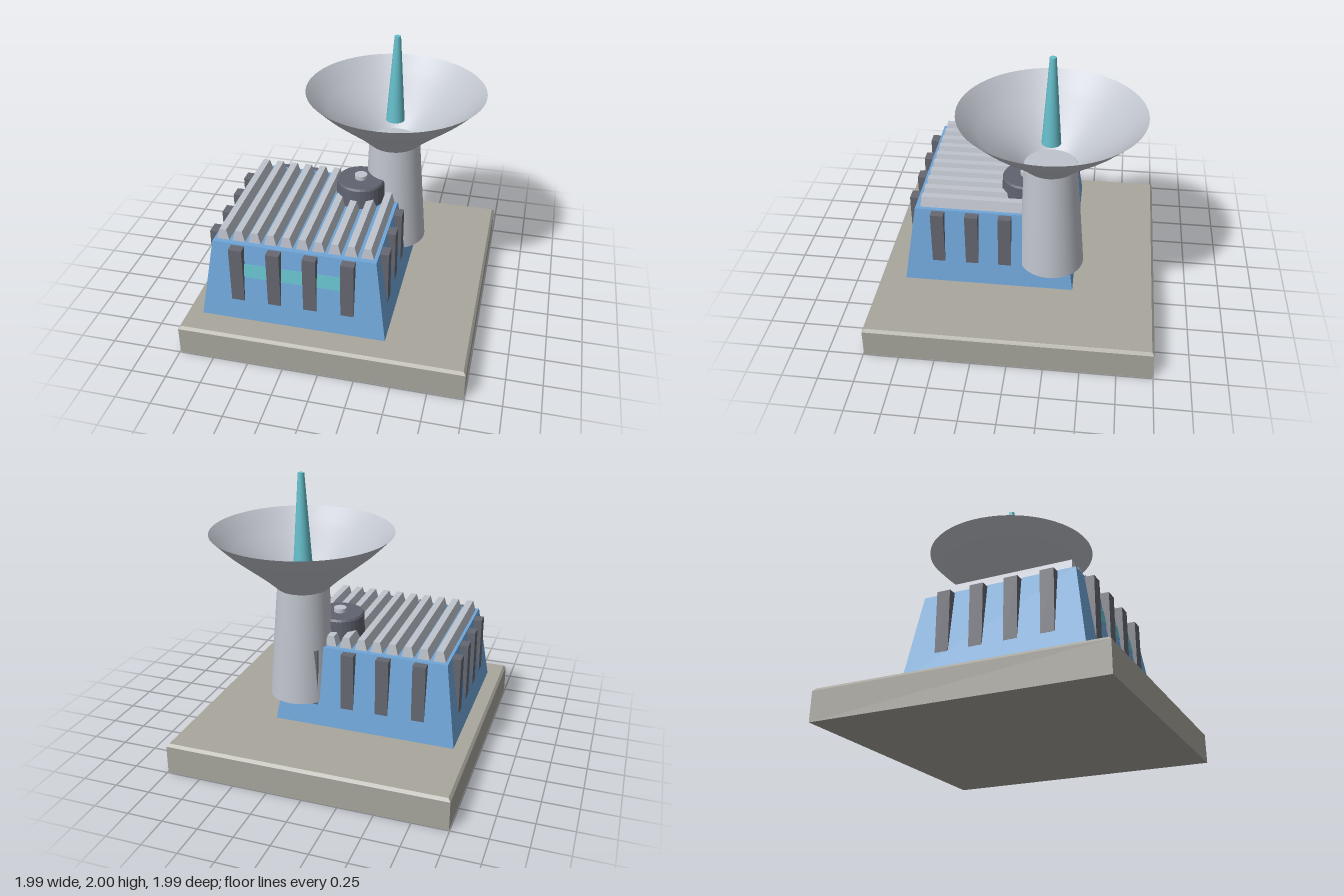
import * as THREE from 'three';

const mat = (name, color, side = THREE.FrontSide) => {
  const m = new THREE.MeshStandardMaterial({ color, side });
  m.name = name;
  return m;
};

// Box whose top rectangle differs from its bottom; rects are [x0, x1, z0, z1]
function frustum(bottom, top, y0, y1) {
  const g = new THREE.BoxGeometry(1, 1, 1).toNonIndexed();
  const p = g.attributes.position;
  for (let i = 0; i < p.count; i++) {
    const up = p.getY(i) > 0;
    const r = up ? top : bottom;
    p.setXYZ(i, p.getX(i) > 0 ? r[1] : r[0], up ? y1 : y0, p.getZ(i) > 0 ? r[3] : r[2]);
  }
  g.computeVertexNormals();
  return g;
}

export function createModel() {
  const model = new THREE.Group();
  const stone = mat('stone grey', 0xa8a69d);
  const blue = mat('wall blue', 0x70a6d9);
  const metal = mat('light metal', 0xbfc3cc);
  const dishMetal = mat('dish metal', 0xbfc3cc, THREE.DoubleSide);
  const dark = mat('fin grey', 0x666871);
  const slate = mat('vent slate', 0x60636f);
  const teal = mat('teal', 0x66c0cc);

  const add = (name, geometry, material, x = 0, y = 0, z = 0, parent = model) => {
    const mesh = new THREE.Mesh(geometry, material);
    mesh.name = name;
    mesh.position.set(x, y, z);
    parent.add(mesh);
    return mesh;
  };

  // Foundation slab with a chamfered top edge
  const outer = [-0.995, 0.995, -0.995, 0.995];
  const inner = [-0.978, 0.978, -0.978, 0.978];
  add('slab', frustum(outer, outer, 0, 0.205), stone);
  add('slabChamfer', frustum(outer, inner, 0.205, 0.225), stone);

  // Sloping building
  add('building', frustum([-0.88, 0.425, -0.41, 0.81], [-0.795, 0.34, -0.325, 0.725], 0.22, 0.8), blue);

  // Roof ribs
  const ribs = new THREE.Group();
  ribs.name = 'roofRibs';
  model.add(ribs);
  const rib = frustum([-0.045, 0.045, -0.29, 0.69], [-0.024, 0.024, -0.283, 0.683], 0.795, 0.875);
  for (let i = 0; i < 10; i++) add('roofRib', rib, metal, -0.73 + i * 0.1113, 0, 0, ribs);

  // Upright fins, four on each wall
  const fins = new THREE.Group();
  fins.name = 'wallFins';
  model.add(fins);
  const finZ = new THREE.BoxGeometry(0.092, 0.415, 0.08);
  const finX = new THREE.BoxGeometry(0.08, 0.415, 0.092);
  for (const x of [-0.615, -0.355, -0.104, 0.157]) {
    add('frontFin', finZ, dark, x, 0.5825, 0.75, fins);
    add('backFin', finZ, dark, x, 0.5825, -0.347, fins);
  }
  for (const z of [-0.15, 0.083, 0.318, 0.56]) {
    add('leftFin', finX, dark, 0.36, 0.5825, z, fins);
    add('rightFin', finX, dark, -0.818, 0.5825, z, fins);
  }

  // Window strip lying on the front wall
  const strip = add('windowStrip', new THREE.BoxGeometry(0.68, 0.1, 0.008), teal, -0.23, 0.61, 0.754);
  strip.rotation.x = -Math.atan(0.085 / 0.58);

  // Roof vent
  const ventProfile = [[0, 0], [0.177, 0], [0.172, 0.14], [0.163, 0.155], [0, 0.155]];
  const vent = new THREE.LatheGeometry(ventProfile.map(p => new THREE.Vector2(...p)), 32).toNonIndexed();
  vent.computeVertexNormals();
  add('roofVent', vent, slate, 0.065, 0.81, -0.04);
  add('ventCap', new THREE.CylinderGeometry(0.045, 0.045, 0.035, 24), metal, 0.065, 0.9775, -0.04);

  // Tower, leaning slightly: sheared along its height
  const tower = new THREE.CylinderGeometry(0.183, 0.231, 0.8, 48);
  const p = tower.attributes.position;
  for (let i = 0; i < p.count; i++) {
    const t = 0.5 - p.getY(i) / 0.8;
    p.setX(i, p.getX(i) + 0.014 * t);
    p.setZ(i, p.getZ(i) - 0.018 * t);
  }
  add('tower', tower, metal, 0.27, 0.8, -0.225);

  // Dish: open shell on a smooth curve
  const curve = new THREE.SplineCurve([
    [0.183, 0], [0.287, 0.095], [0.447, 0.226], [0.53, 0.298], [0.632, 0.4],
  ].map(q => new THREE.Vector2(...q)));
  add('dish', new THREE.LatheGeometry(curve.getPoints(16), 64), dishMetal, 0.27, 1.2, -0.225);

  // Antenna above the dish
  add('antenna', new THREE.CylinderGeometry(0.022, 0.066, 0.63, 24), teal, 0.27, 1.685, -0.225);

  return model;
}
